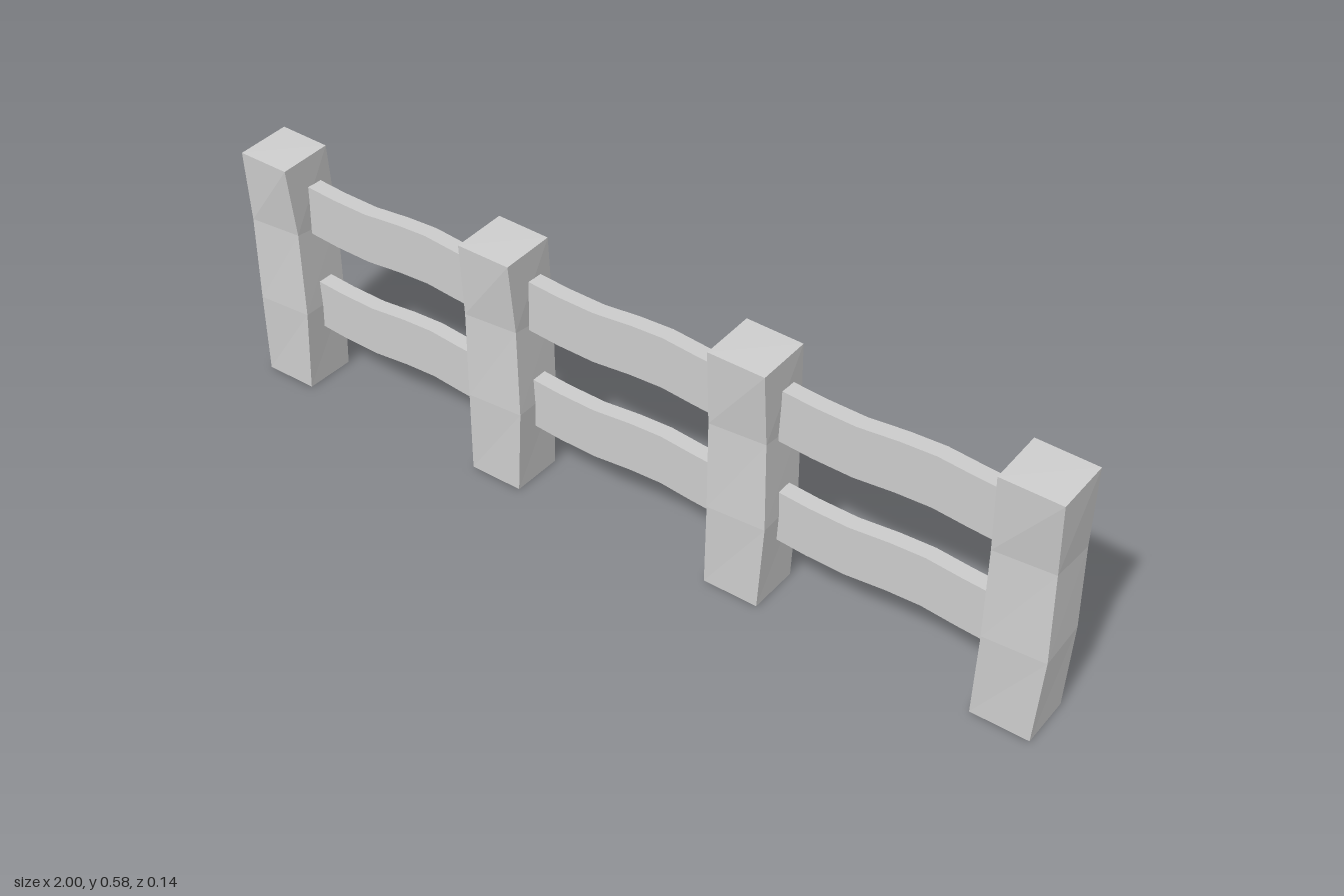
import * as THREE from 'three';

const material = new THREE.MeshStandardMaterial({ color: 0xcccccc, flatShading: true });

// Joins four-cornered rings into a closed, faceted beam
function loft(rings) {
  const pos = [];
  const quad = (a, b, c, d) => pos.push(...a, ...b, ...c, ...a, ...c, ...d);
  for (let r = 0; r < rings.length - 1; r++) {
    for (let i = 0; i < 4; i++) {
      const j = (i + 1) % 4;
      quad(rings[r][i], rings[r][j], rings[r + 1][j], rings[r + 1][i]);
    }
  }
  const first = rings[0], last = rings[rings.length - 1];
  quad(first[3], first[2], first[1], first[0]);
  quad(last[0], last[1], last[2], last[3]);
  const geo = new THREE.BufferGeometry();
  geo.setAttribute('position', new THREE.Float32BufferAttribute(pos, 3));
  geo.computeVertexNormals();
  return geo;
}

// Crooked post: rings run front left, front right, back right, back left
function postGeometry() {
  return loft([
    [[-0.064, 0, 0.066], [0.065, 0, 0.066], [0.065, 0, -0.057], [-0.064, 0, -0.057]],
    [[-0.06, 0.2, 0.07], [0.073, 0.2, 0.062], [0.07, 0.2, -0.061], [-0.064, 0.2, -0.058]],
    [[-0.067, 0.4, 0.062], [0.061, 0.4, 0.052], [0.06, 0.385, -0.07], [-0.073, 0.39, -0.064]],
    [[-0.072, 0.568, 0.066], [0.062, 0.57, 0.071], [0.067, 0.581, -0.051], [-0.07, 0.576, -0.062]],
  ]);
}

// Wavy plank: stations hold x, centre height offset and centre depth
function railGeometry() {
  const stations = [
    [-0.255, 0.004, -0.009], [-0.17, -0.002, -0.008], [-0.08, -0.005, -0.009],
    [0.01, 0.001, -0.012], [0.09, 0.005, -0.011], [0.17, 0.001, -0.007], [0.255, -0.004, -0.006],
  ];
  const h = 0.06, d = 0.019;
  return loft(stations.map(([x, y, z]) => [
    [x, y - h, z + d], [x, y - h, z - d], [x, y + h, z - d], [x, y + h, z + d],
  ]));
}

export function createModel() {
  const fence = new THREE.Group();
  fence.name = 'fence';
  const add = (name, geo, x, y) => {
    const mesh = new THREE.Mesh(geo, material);
    mesh.name = name;
    mesh.position.set(x, y, 0);
    fence.add(mesh);
  };

  const spacing = 0.617, post = postGeometry(), rail = railGeometry();

  // Four posts
  for (let i = 0; i < 4; i++) add('post', post, (i - 1.5) * spacing, 0);

  // Two rails in each gap
  for (let i = -1; i <= 1; i++) {
    add('lowerRail', rail, i * spacing, 0.198);
    add('upperRail', rail, i * spacing, 0.441);
  }
  return fence;
}
